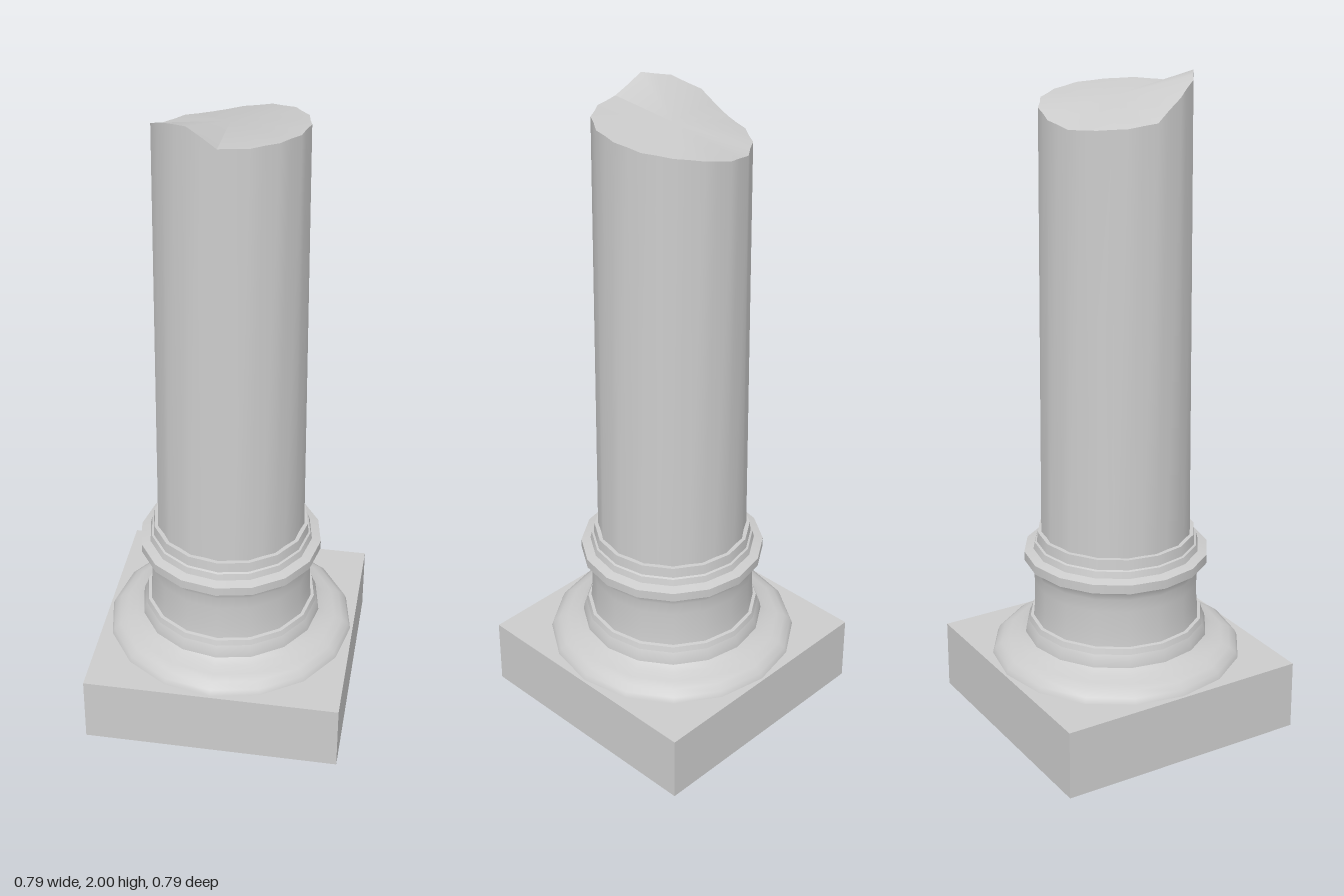
import * as THREE from 'three';
import { mergeVertices } from 'three/addons/utils/BufferGeometryUtils.js';

const material = new THREE.MeshStandardMaterial({ color: 0xcccccc, side: THREE.DoubleSide });
const SIDES = 16;
const SHAFT_BOTTOM = 0.61;

// Height of the broken rim at each corner, from the front (+z) round by +x
const RIM = [1.95, 1.95, 1.95, 1.945, 1.94, 1.93, 1.92, 1.905,
  1.885, 1.87, 1.875, 1.88, 1.89, 1.95, 1.985, 2.0];

function addMesh(parent, name, geometry) {
  const mesh = new THREE.Mesh(geometry, material);
  mesh.name = name;
  parent.add(mesh);
  return mesh;
}

// A turned moulding: each band is smooth, with a sharp edge between bands
function addMoulding(parent, name, bands) {
  const group = new THREE.Group();
  group.name = name;
  bands.forEach((band, i) => {
    const points = band.map(([r, y]) => new THREE.Vector2(r, y));
    addMesh(group, `${name}Band${i + 1}`, new THREE.LatheGeometry(points, SIDES));
  });
  parent.add(group);
}

// Point on the fluted shaft: step counts half flutes, top picks the broken rim
function shaftPoint(step, top) {
  const n = SIDES * 2;
  const k = ((step % n) + n) % n;
  const a = (k / n) * Math.PI * 2;
  const flute = k % 2 ? 0.973 : 1;
  const r = (top ? 0.22 : 0.23) * flute;
  const i = Math.floor(k / 2);
  const rim = k % 2 ? (RIM[i] + RIM[(i + 1) % SIDES]) / 2 : RIM[i];
  return [r * Math.sin(a), top ? rim : SHAFT_BOTTOM, r * Math.cos(a)];
}

function shaftGeometry() {
  const n = SIDES * 2;
  let geometry = new THREE.CylinderGeometry(1, 1, 1, n, 1, true);
  const pos = geometry.attributes.position;
  for (let i = 0; i < pos.count; i++) {
    pos.setXYZ(i, ...shaftPoint(i % (n + 1), pos.getY(i) > 0));
  }
  geometry.deleteAttribute('uv');
  geometry.deleteAttribute('normal');
  geometry = mergeVertices(geometry);
  geometry.computeVertexNormals();
  return geometry;
}

// Sloping broken face that closes the shaft
function breakGeometry() {
  const geometry = new THREE.CircleGeometry(1, SIDES * 2);
  const pos = geometry.attributes.position;
  pos.setXYZ(0, 0, 1.935, 0);
  for (let i = 1; i < pos.count; i++) pos.setXYZ(i, ...shaftPoint(i - 1, true));
  geometry.computeVertexNormals();
  return geometry;
}

export function createModel() {
  const column = new THREE.Group();
  column.name = 'brokenColumn';

  // Square plinth
  addMesh(column, 'plinth', new THREE.BoxGeometry(0.79, 0.215, 0.79)).position.y = 0.1075;

  // Spreading foot
  addMoulding(column, 'foot', [
    [[0.387, 0.215], [0.38, 0.232], [0.36, 0.248], [0.335, 0.258], [0.305, 0.266], [0.283, 0.28]],
  ]);

  // Stepped ring under the drum
  addMoulding(column, 'lowerRing', [
    [[0.283, 0.28], [0.28, 0.3], [0.272, 0.318]],
    [[0.272, 0.318], [0.267, 0.335]],
    [[0.267, 0.335], [0.255, 0.337]],
  ]);

  // Waisted drum
  addMoulding(column, 'drum', [
    [[0.257, 0.337], [0.253, 0.38], [0.252, 0.45], [0.254, 0.49], [0.262, 0.512], [0.27, 0.522]],
  ]);

  // Projecting ring and collar
  addMoulding(column, 'upperRing', [
    [[0.27, 0.522], [0.283, 0.524]],
    [[0.283, 0.524], [0.283, 0.552]],
    [[0.283, 0.552], [0.255, 0.56]],
  ]);
  addMoulding(column, 'collar', [
    [[0.255, 0.56], [0.25, 0.58]],
    [[0.25, 0.58], [0.244, 0.583]],
    [[0.244, 0.583], [0.241, 0.614]],
    [[0.241, 0.614], [0.21, 0.616]],
  ]);

  // Fluted shaft with its broken top
  addMesh(column, 'shaft', shaftGeometry());
  addMesh(column, 'brokenTop', breakGeometry());

  return column;
}
